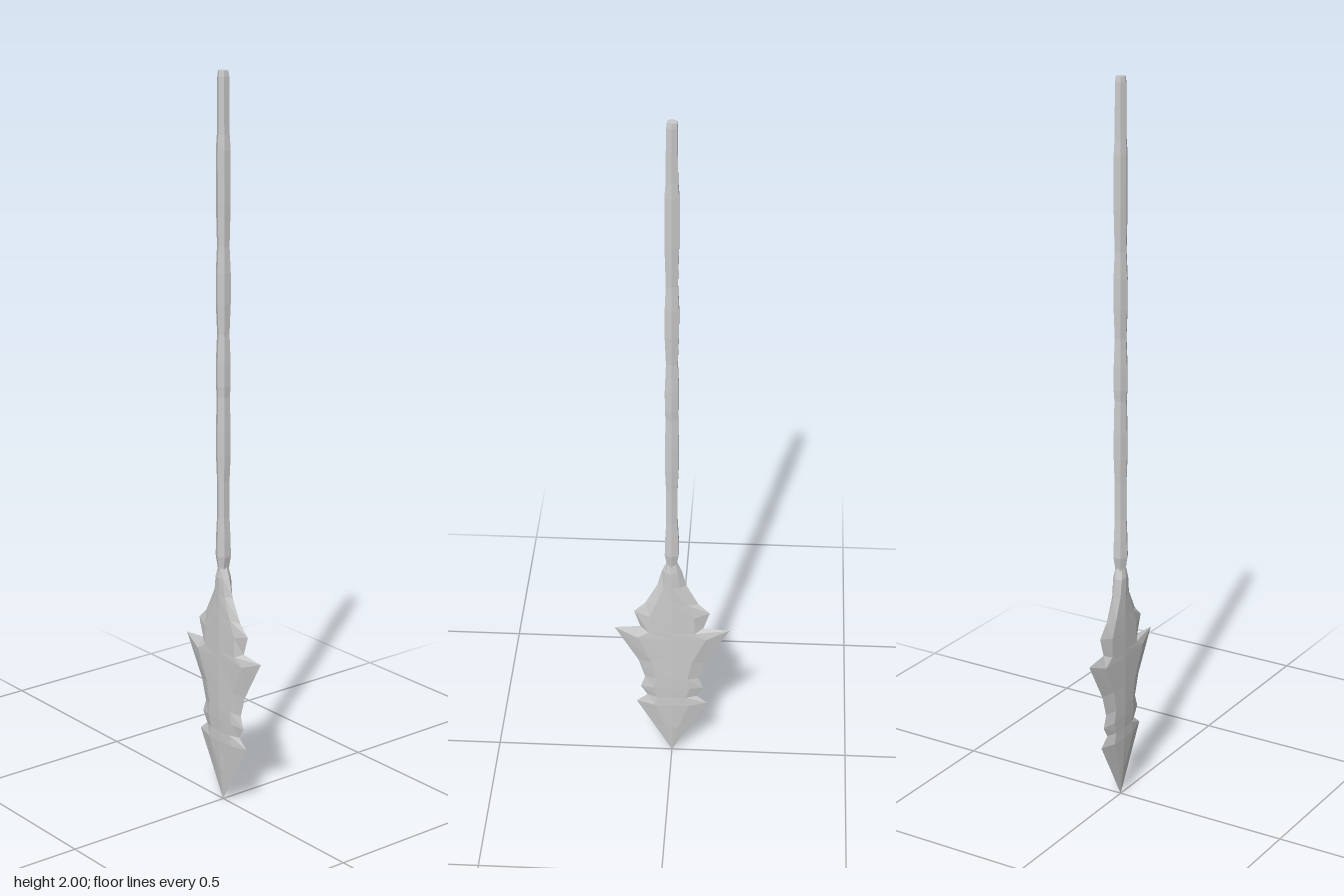
import * as THREE from 'three';

// Joins rings of equal point count (listed bottom to top, clockwise from above) into a closed, faceted skin.
function loft(rings) {
  const pos = [];
  const tri = (a, b, c) => pos.push(...a, ...b, ...c);
  const n = rings[0].length;
  for (let r = 0; r < rings.length - 1; r++) {
    const lo = rings[r], hi = rings[r + 1];
    for (let i = 0; i < n; i++) {
      const j = (i + 1) % n;
      tri(lo[i], hi[i], hi[j]);
      tri(lo[i], hi[j], lo[j]);
    }
  }
  const first = rings[0], last = rings[rings.length - 1];
  for (let i = 1; i < n - 1; i++) {
    tri(first[0], first[i], first[i + 1]);
    tri(last[0], last[i + 1], last[i]);
  }
  const geo = new THREE.BufferGeometry();
  geo.setAttribute('position', new THREE.Float32BufferAttribute(pos, 3));
  geo.computeVertexNormals();
  return geo;
}

// Six-sided shaft ring with corners facing front and back, and broad flat sides.
function shaftRing([y, halfX, halfZ]) {
  return [
    [0, y, halfZ], [-halfX, y, halfZ * 0.55], [-halfX, y, -halfZ * 0.55],
    [0, y, -halfZ], [halfX, y, -halfZ * 0.55], [halfX, y, halfZ * 0.55],
  ];
}

// Blade ring: sharp side edges, bevel shoulders and a central ridge.
function bladeRing([y, edge, shoulderY, shoulder, z, ridge]) {
  return [
    [edge, y, 0], [shoulder, shoulderY, z], [0, shoulderY, ridge], [-shoulder, shoulderY, z],
    [-edge, y, 0], [-shoulder, shoulderY, -z], [0, shoulderY, -ridge], [shoulder, shoulderY, -z],
  ];
}

export function createModel() {
  const group = new THREE.Group();
  const material = new THREE.MeshStandardMaterial({ color: 0xcccccc, flatShading: true });
  const add = (name, geometry) => {
    const mesh = new THREE.Mesh(geometry, material);
    mesh.name = name;
    group.add(mesh);
  };

  // Hand-carved shaft: height, half width, half depth
  const shaft = [
    [0.655, 0.011, 0.014], [0.68, 0.014, 0.016], [0.71, 0.019, 0.020], [0.76, 0.018, 0.019],
    [0.82, 0.015, 0.017], [0.92, 0.015, 0.017], [0.99, 0.018, 0.019], [1.06, 0.018, 0.019],
    [1.15, 0.016, 0.017], [1.18, 0.018, 0.019], [1.24, 0.018, 0.019], [1.32, 0.015, 0.016],
    [1.40, 0.018, 0.019], [1.48, 0.018, 0.019], [1.55, 0.015, 0.016], [1.66, 0.018, 0.018],
    [1.80, 0.018, 0.018], [1.84, 0.015, 0.016], [1.985, 0.014, 0.015], [2.0, 0.012, 0.013],
  ];
  add('shaft', loft(shaft.map(shaftRing)));

  // Barbed blade: edge height, edge x, shoulder height, shoulder x, shoulder z, ridge z
  const blade = [
    [0, 0.0005, 0, 0.0003, 0.0003, 0.0005],
    [0.09, 0.050, 0.09, 0.018, 0.007, 0.009],
    [0.18, 0.100, 0.175, 0.048, 0.011, 0.013],
    [0.205, 0.070, 0.205, 0.040, 0.011, 0.013],
    [0.235, 0.088, 0.24, 0.050, 0.012, 0.015],
    [0.27, 0.076, 0.275, 0.044, 0.013, 0.016],
    [0.33, 0.094, 0.335, 0.056, 0.013, 0.016],
    [0.445, 0.160, 0.42, 0.096, 0.013, 0.016],
    [0.452, 0.088, 0.44, 0.064, 0.013, 0.016],
    [0.505, 0.105, 0.495, 0.062, 0.013, 0.016],
    [0.535, 0.074, 0.54, 0.044, 0.013, 0.016],
    [0.60, 0.040, 0.60, 0.022, 0.013, 0.016],
    [0.65, 0.027, 0.65, 0.016, 0.014, 0.017],
    [0.68, 0.014, 0.68, 0.010, 0.010, 0.014],
  ];
  add('blade', loft(blade.map(bladeRing)));
  return group;
}
